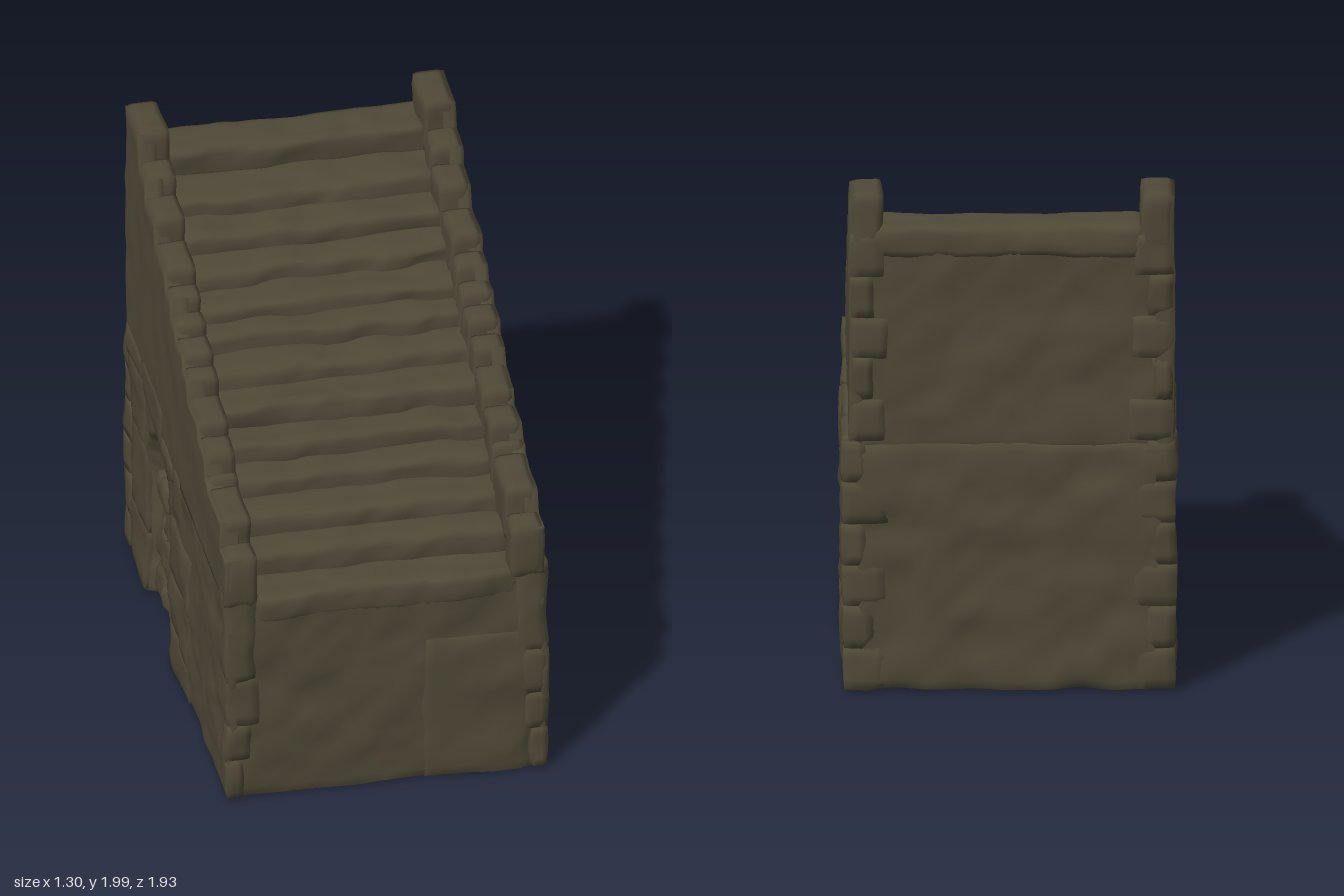
import * as THREE from 'three';
import { mergeVertices } from 'three/addons/utils/BufferGeometryUtils.js';

const stoneMat = new THREE.MeshStandardMaterial({ color: 0x4f4937, side: THREE.DoubleSide });
stoneMat.name = 'mossy stone';

// Repeatable value noise in -1..1
const hash = (i, j, k) => {
  const s = Math.sin(i * 127.1 + j * 311.7 + k * 74.7) * 43758.5453;
  return (s - Math.floor(s)) * 2 - 1;
};
function noise(x, y, z) {
  const i = Math.floor(x), j = Math.floor(y), k = Math.floor(z);
  const f = t => t * t * (3 - 2 * t);
  const u = f(x - i), v = f(y - j), w = f(z - k);
  const mix = (a, b, t) => a + (b - a) * t;
  const row = (b, c) => mix(hash(i, b, c), hash(i + 1, b, c), u);
  return mix(mix(row(j, k), row(j + 1, k), v), mix(row(j, k + 1), row(j + 1, k + 1), v), w);
}
// Plateau-like bumps with finer chipping on top
const rough = (x, y, z) => 0.6 * Math.tanh(2.5 * noise(x * 7, y * 9, z * 7)) + 0.4 * noise(x * 15 + 5, y * 18, z * 15);

// Weathered block between two corners, with rounded edges and an optional extra vertex rule;
// cells are the grid spacings along x, y and z
function block(name, [x0, x1], [y0, y1], [z0, z1], { r = 0.015, amp = 0.008, cells = [0.04, 0.04, 0.04], rule } = {}) {
  const size = [x1 - x0, y1 - y0, z1 - z0];
  const segs = size.map((s, i) => Math.max(3, Math.round(s / cells[i])));
  let geo = new THREE.BoxGeometry(...size, ...segs);
  geo.deleteAttribute('normal');
  geo.deleteAttribute('uv');
  geo = mergeVertices(geo, 1e-4);
  const pos = geo.attributes.position;
  const rad = Math.min(r, ...size.map(s => s * 0.45));
  const lim = new THREE.Vector3(...size).multiplyScalar(0.5).subScalar(rad);
  const low = lim.clone().negate();
  const centre = new THREE.Vector3((x0 + x1) / 2, (y0 + y1) / 2, (z0 + z1) / 2);
  const p = new THREE.Vector3(), inner = new THREE.Vector3();
  for (let i = 0; i < pos.count; i++) {
    p.fromBufferAttribute(pos, i);
    inner.copy(p).clamp(low, lim);
    p.sub(inner);
    if (p.lengthSq() > 0) p.setLength(rad);
    p.add(inner).add(centre);
    if (rule) rule(p);
    const { x, y, z } = p;
    p.x += amp * rough(x, y, z);
    p.y += amp * 0.6 * rough(x + 9, y, z);
    p.z += amp * rough(x, y + 9, z);
    pos.setXYZ(i, p.x, p.y, p.z);
  }
  geo.computeVertexNormals();
  const mesh = new THREE.Mesh(geo, stoneMat);
  mesh.name = name;
  return mesh;
}

// Block mirrored to side s (+1 or -1)
const sideBlock = (s, name, [a, b], ys, zs, opt) =>
  block(name, s > 0 ? [a, b] : [-b, -a], ys, zs, opt);

// Blind arch: 1 inside the opening, 0 outside
function archMask(y, z) {
  const u = Math.abs(z + 0.32) / 0.21;
  const v = Math.max(0, y - 0.56) / 0.285;
  return 1 - THREE.MathUtils.smoothstep(Math.hypot(u, v), 0.97, 1.04);
}

// Parapet outline: front z, back z, top y
const parapet = [
  [0.96, 0.85, 1.125], [0.85, 0.6, 1.23], [0.6, 0.55, 1.26], [0.55, 0.41, 1.34],
  [0.41, 0.22, 1.4], [0.22, 0.12, 1.475], [0.12, -0.01, 1.53], [-0.01, -0.1, 1.58],
  [-0.1, -0.2, 1.645], [-0.2, -0.41, 1.71], [-0.41, -0.58, 1.81], [-0.58, -0.72, 1.88],
  [-0.72, -0.95, 2.0],
];
const parapetTop = z => (parapet.find(([, back]) => z >= back) ?? parapet.at(-1))[2];

export function createModel() {
  const model = new THREE.Group();
  model.name = 'stoneStaircase';
  const group = name => {
    const g = new THREE.Group();
    g.name = name;
    model.add(g);
    return g;
  };

  // Hollow front and back walls
  const walls = group('walls');
  walls.add(block('frontWall', [-0.6, 0.6], [0.02, 0.92], [0.9, 0.947], { amp: 0.014 }));
  walls.add(block('frontWallPatch', [0.14, 0.56], [0.02, 0.65], [0.91, 0.955], { amp: 0.014 }));
  walls.add(block('backLowerWall', [-0.6, 0.6], [0.02, 1.0], [-0.952, -0.9], { amp: 0.014 }));
  walls.add(block('backUpperWall', [-0.58, 0.58], [0.97, 1.865], [-0.945, -0.9], { amp: 0.012 }));

  for (const s of [1, -1]) {
    const side = group(s > 0 ? 'leftSide' : 'rightSide');
    const lean = -0.01 * s; // the upper part sits slightly off centre

    // Lower wall with recessed arch
    side.add(sideBlock(s, 'lowerWall', [0.585, 0.632], [0.02, 0.93], [-0.945, 0.955], {
      cells: [0.04, 0.026, 0.022], amp: 0.014,
      rule: p => { p.x -= s * 0.05 * archMask(p.y, p.z); },
    }));

    // Upper wall in one piece, its top edge following the parapet
    side.add(sideBlock(s, 'upperWall', [0.56, 0.624 + lean], [0.9, 1.9], [-0.95, 0.957], {
      r: 0.004, cells: [0.04, 0.06, 0.016], amp: 0.006,
      rule: p => { p.y = 0.9 + (p.y - 0.9) * (parapetTop(p.z) - 0.91); },
    }));

    // Rounded parapet stones on the stair side
    for (const [zf, zb, top] of parapet)
      side.add(sideBlock(s, 'parapetStone', [0.495 + lean, 0.62 + lean], [top - 0.24, top], [zb - 0.004, zf], { r: 0.02, cells: [0.025, 0.04, 0.025], amp: 0.007 }));

    // Front corner: a tall stone above irregular ones
    const frontStones = [[0.56, 0.02, 0.2], [0.53, 0.19, 0.36], [0.5, 0.35, 0.57], [0.51, 0.55, 0.96]];
    for (const [x, y0, y1] of frontStones)
      side.add(sideBlock(s, 'frontCornerStone', [x, 0.634], [y0, y1], [0.86, 0.958], { amp: 0.012 }));

    // Back corner, alternately long and short
    for (let i = 0; i < 11; i++) {
      const y0 = 0.02 + i * 0.165, upper = y0 > 1;
      const x = (i % 2 ? 0.53 : 0.47) + 0.02 * hash(i, s, 3);
      side.add(sideBlock(s, 'backCornerStone', [x, upper ? 0.62 + lean : 0.642], [y0, y0 + 0.17], [-0.955, i % 2 ? -0.82 : -0.87], { amp: 0.01, r: 0.012 }));
    }

    // Raised facing stones around the arch: z range, y range
    const facing = [
      [[-0.1, 0.27], [0.02, 0.2]], [[-0.09, 0.27], [0.19, 0.43]], [[-0.1, 0.27], [0.42, 0.67]],
      [[-0.02, 0.09], [0.72, 0.94]], [[-0.62, -0.25], [0.88, 1.05]], [[-0.24, 0.0], [0.85, 0.93]],
      [[-0.84, -0.6], [0.64, 0.96]], [[-0.83, -0.54], [0.03, 0.3]], [[-0.83, -0.54], [0.29, 0.66]],
      [[-0.94, -0.6], [0.93, 1.03]],
    ];
    for (const [zs, ys] of facing)
      side.add(sideBlock(s, 'facingStone', [0.59, 0.641], ys, zs, { amp: 0.014, r: 0.01 }));

    // Rubble packed into the arch: z range, y range
    const rubble = [
      [[-0.39, -0.25], [0.55, 0.67]], [[-0.5, -0.15], [0.42, 0.57]], [[-0.46, -0.22], [0.24, 0.44]],
      [[-0.25, -0.12], [0.28, 0.45]], [[-0.52, -0.4], [0.04, 0.27]], [[-0.42, -0.12], [0.04, 0.14]],
      [[-0.34, -0.14], [0.13, 0.25]], [[-0.46, -0.36], [0.52, 0.66]],
    ];
    rubble.forEach(([zs, ys], i) =>
      side.add(sideBlock(s, 'rubbleStone', [0.53, 0.603 + 0.012 * hash(i, 2, s)], ys, zs, { amp: 0.025, r: 0.02, cells: [0.025, 0.025, 0.025] })));
  }

  // Worn treads: front edge z, top y
  const treads = [
    [0.95, 0.925], [0.79, 1.02], [0.66, 1.1], [0.52, 1.175], [0.39, 1.255], [0.26, 1.345],
    [0.11, 1.41], [-0.03, 1.485], [-0.14, 1.545], [-0.29, 1.615], [-0.43, 1.69], [-0.57, 1.765],
    [-0.75, 1.87],
  ];
  const stairs = group('stairs');
  treads.forEach(([z, y], i) => {
    const last = i === treads.length - 1;
    const back = last ? -0.95 : treads[i + 1][0] - 0.04;
    stairs.add(block(last ? 'topLanding' : 'tread', [-0.53, 0.53], [y - 0.13, y], [back, z], { r: 0.025, amp: 0.016, cells: [0.035, 0.03, 0.03] }));
  });

  return model;
}
